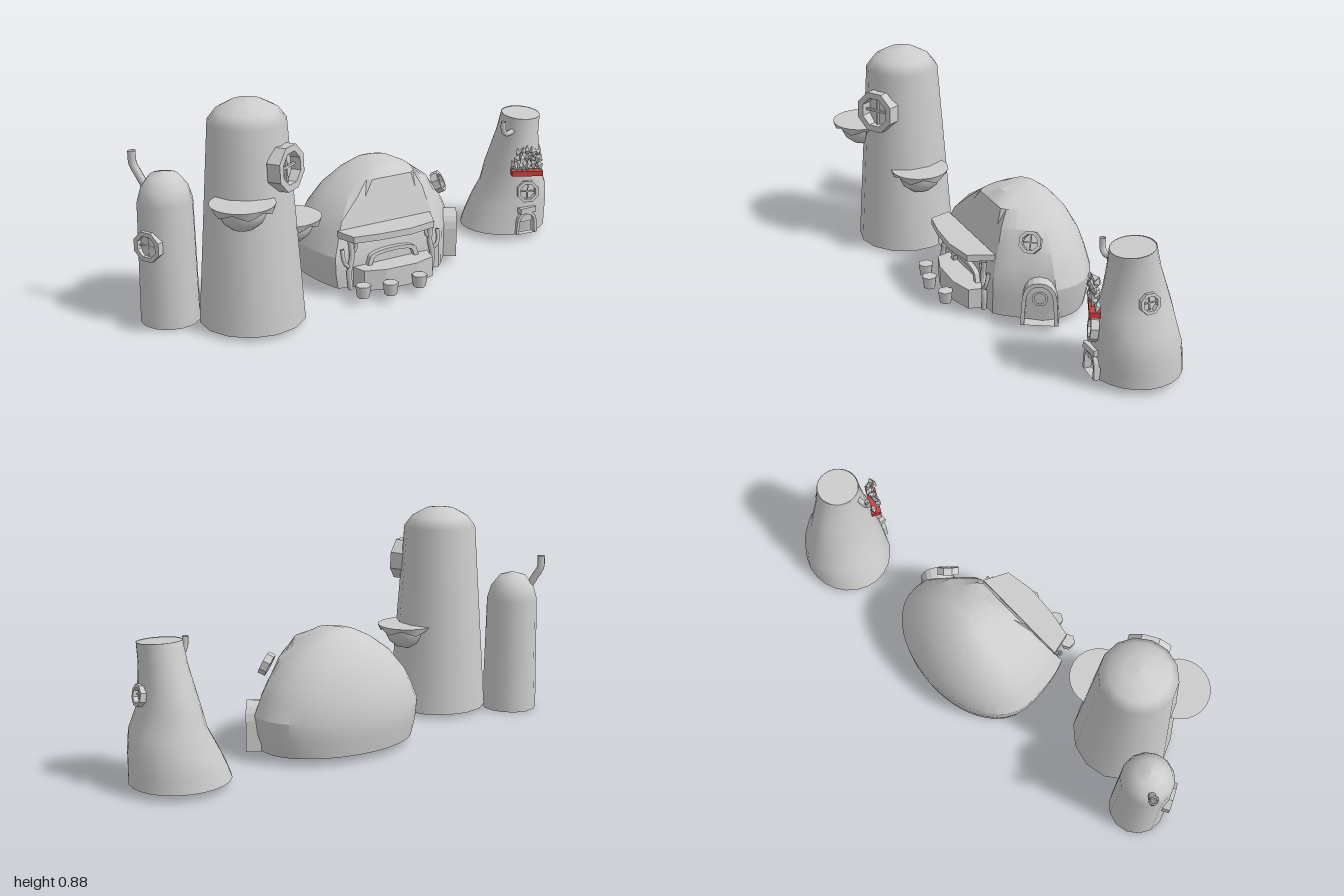
import * as THREE from 'three';
import { toCreasedNormals } from 'three/addons/utils/BufferGeometryUtils.js';

const V = (x, y, z) => new THREE.Vector3(x, y, z);

export function createModel() {
  const root = new THREE.Group();
  const stone = new THREE.MeshStandardMaterial({ color: 0xcccccc, side: THREE.DoubleSide });
  stone.name = 'pale grey';
  const red = new THREE.MeshStandardMaterial({ color: 0xc84444, side: THREE.DoubleSide });
  red.name = 'planter red';

  const add = (name, geo, p = [0, 0, 0], parent = root, mat = stone) => {
    const m = new THREE.Mesh(geo, mat);
    m.name = name;
    m.position.set(...p);
    parent.add(m);
    return m;
  };
  // Group at a point whose +z looks along a normal
  const facing = (name, p, n) => {
    const g = new THREE.Group();
    g.name = name;
    g.position.set(...p);
    g.lookAt(V(...p).add(V(...n)));
    root.add(g);
    return g;
  };
  const tube = (name, pts, r, parent = root) =>
    add(name, new THREE.TubeGeometry(new THREE.CatmullRomCurve3(pts.map(p => V(...p))), 8, r, 7), [0, 0, 0], parent);

  // Skin of rings: point(j, i) gives a vertex, skip(j, i) leaves an opening
  const loft = (rows, segs, point, skip = () => false, crease = 0.6) => {
    const pos = [], idx = [];
    for (let j = 0; j < rows; j++) for (let i = 0; i < segs; i++) pos.push(...point(j, i));
    for (let j = 0; j < rows - 1; j++) for (let i = 0; i < segs; i++) {
      if (skip(j, i)) continue;
      const a = j * segs + i, b = j * segs + (i + 1) % segs;
      idx.push(a, b, b + segs, a, b + segs, a + segs);
    }
    const g = new THREE.BufferGeometry();
    g.setAttribute('position', new THREE.Float32BufferAttribute(pos, 3));
    g.setIndex(idx);
    return toCreasedNormals(g, crease);
  };

  // Octagonal porthole with crossbars
  const ngon = (path, r) => {
    for (let k = 0; k < 8; k++) {
      const a = (k + 0.5) * Math.PI / 4;
      path[k ? 'lineTo' : 'moveTo'](r * Math.cos(a), r * Math.sin(a));
    }
    path.closePath();
    return path;
  };
  const porthole = (name, p, n, r, depth) => {
    const g = facing(name, p, n);
    const s = ngon(new THREE.Shape(), r);
    s.holes.push(ngon(new THREE.Path(), r * 0.7));
    add('windowFrame', new THREE.ExtrudeGeometry(s, { depth, bevelEnabled: false }), [0, 0, -depth / 2], g);
    add('windowBar', new THREE.BoxGeometry(r * 1.4, r * 0.1, r * 0.12), [0, 0, 0], g);
    add('windowBar', new THREE.BoxGeometry(r * 0.1, r * 1.4, r * 0.12), [0, 0, 0], g);
  };

  // Round towers with domed tops, open underneath
  const tower = (name, x, z, segs, profile) =>
    add(name, new THREE.LatheGeometry(profile.map(p => new THREE.Vector2(...p)), segs), [x, 0, z]);
  tower('tallTower', -0.6, 0.112, 14,
    [[0.206, 0.016], [0.15, 0.795], [0.117, 0.838], [0.062, 0.868], [0, 0.877]]);
  tower('smallTower', -0.865, -0.06, 14,
    [[0.115, 0], [0.106, 0.48], [0.09, 0.535], [0.055, 0.58], [0, 0.596]]);
  porthole('tallTowerWindow', [-0.52, 0.64, 0.258], [0.52, 0.05, 0.85], 0.09, 0.055);
  porthole('smallTowerWindow', [-0.958, 0.33, -0.012], [-0.87, 0, 0.5], 0.062, 0.03);
  tube('smallTowerChimney',
    [[-0.925, 0.54, -0.105], [-0.942, 0.585, -0.125], [-0.953, 0.615, -0.138], [-0.955, 0.667, -0.138]], 0.016);

  // Shelf mushrooms: flat cap with a wavy lower rim over a bowl
  const mushroom = (x, y, z) => {
    const cap = new THREE.CylinderGeometry(0.122, 0.112, 0.022, 24);
    const p = cap.attributes.position;
    for (let i = 0; i < p.count; i++) if (p.getY(i) < 0 && Math.hypot(p.getX(i), p.getZ(i)) > 0.05)
      p.setY(i, -0.012 + 0.01 * Math.sin(6 * Math.atan2(p.getX(i), p.getZ(i))));
    cap.computeVertexNormals();
    add('shelfCap', cap, [x, y - 0.011, z]);
    const bowl = [[0, -0.1], [0.045, -0.094], [0.074, -0.07], [0.088, -0.04], [0.09, -0.014]];
    add('shelfBowl', new THREE.LatheGeometry(bowl.map(q => new THREE.Vector2(...q)), 16), [x, y, z]);
  };
  mushroom(-0.7, 0.54, 0.265);
  mushroom(-0.432, 0.388, 0.112);

  // Domed shop: ellipsoid trimmed by a leaning front and a slanted door wall
  const levels = [[0.03, 0.93], [0.1, 0.98], [0.17, 1], [0.24, 0.92], [0.3, 0.83], [0.375, 0.65],
    [0.435, 0.42], [0.47, 0.22], [0.487, 0]];
  const AX = 0.075, AZ = -0.13, N = 48;
  const dome = loft(levels.length, N, (j, i) => {
    const [y, s] = levels[j], a = i / N * Math.PI * 2, sx = Math.sin(a), cz = Math.cos(a);
    let r = s / Math.hypot(sx / 0.352, cz / (cz > 0 ? 0.5 : 0.23));
    const front = 0.105 - 0.085 * Math.max(0, (y - 0.17) / 0.29);
    if (cz > 0.01) r = Math.min(r, (front - AZ) / cz);
    const d = 0.76 * sx + 0.65 * cz, wall = 0.268 - 0.12 * Math.max(0, (y - 0.2) / 0.28);
    if (d > 0.01) r = Math.min(r, (wall - 0.76 * AX - 0.65 * AZ) / d);
    return [AX + r * sx, y, AZ + r * cz];
  }, undefined, 0.42);
  add('shopDome', dome);
  porthole('shopWindow', [0.33, 0.35, -0.02], [0.66, 0.45, 0.6], 0.046, 0.03);

  // Arched doorway
  const archPath = (path, w, h) => {
    path.moveTo(-w, 0);
    path.lineTo(-w * 0.9, h * 0.65);
    path.quadraticCurveTo(-w * 0.75, h, 0, h);
    path.quadraticCurveTo(w * 0.75, h, w * 0.9, h * 0.65);
    path.lineTo(w, 0);
    path.closePath();
    return path;
  };
  const arch = (name, p, n, w, h, t, depth) => {
    const g = facing(name, p, n);
    const s = archPath(new THREE.Shape(), w, h);
    s.holes.push(archPath(new THREE.Path(), w - t, h - t));
    add('doorFrame', new THREE.ExtrudeGeometry(s, { depth, bevelEnabled: false, curveSegments: 4 }),
      [0, 0, -depth / 2], g);
    return g;
  };
  const door = arch('shopDoor', [0.395, 0.03, -0.03], [0.85, 0, 0.52], 0.075, 0.185, 0.016, 0.06);
  add('doorPane', new THREE.RingGeometry(0.022, 0.032, 12), [0, 0.105, 0.005], door);

  // Shop canopy, counter and hatch
  const slab = (name, y, h, pts) => {
    const s = new THREE.Shape(pts.map(q => new THREE.Vector2(q[0], -q[1])));
    const m = add(name, new THREE.ExtrudeGeometry(s, { depth: h, bevelEnabled: false }), [0, y, 0]);
    m.rotation.x = -Math.PI / 2;
  };
  slab('canopy', 0.243, 0.027, [[-0.21, 0.08], [-0.185, 0.17], [-0.08, 0.19], [0.06, 0.2], [0.18, 0.18], [0.225, 0.08]]);
  slab('counter', 0.03, 0.085, [[-0.155, 0.09], [-0.135, 0.165], [-0.05, 0.195], [0.09, 0.2], [0.18, 0.175], [0.2, 0.09]]);
  const hatch = archPath(new THREE.Shape(), 0.12, 0.06);
  hatch.holes.push(archPath(new THREE.Path(), 0.1, 0.045));
  add('hatchFrame', new THREE.ExtrudeGeometry(hatch, { depth: 0.03, bevelEnabled: false }), [0.025, 0.112, 0.095]);

  // Branching canopy posts
  for (const [x, k] of [[-0.172, -1], [0.205, 1]]) {
    tube('canopyPost', [[x, 0.03, 0.12], [x + 0.008 * k, 0.1, 0.122], [x - 0.006 * k, 0.17, 0.12], [x + 0.004 * k, 0.245, 0.12]], 0.011);
    tube('postBranch', [[x, 0.12, 0.12], [x + 0.03 * k, 0.15, 0.125], [x + 0.035 * k, 0.205, 0.115]], 0.008);
    tube('postBranch', [[x, 0.17, 0.12], [x - 0.022 * k, 0.195, 0.12], [x - 0.026 * k, 0.225, 0.12]], 0.007);
  }

  // Stools
  for (const [x, z] of [[-0.165, 0.207], [-0.058, 0.238], [0.082, 0.23]])
    add('stool', new THREE.CylinderGeometry(0.032, 0.025, 0.05, 6).toNonIndexed(), [x, 0.053, z]);

  // Stump house: rings of y, min x, max x, min z, max z, with a door opening
  const rings = [
    [0.027, 0.612, 0.995, -0.385, -0.025], [0.08, 0.632, 0.993, -0.378, -0.025],
    [0.14, 0.66, 0.99, -0.367, -0.024], [0.22, 0.698, 0.978, -0.338, -0.028],
    [0.3, 0.72, 0.942, -0.322, -0.038], [0.38, 0.738, 0.934, -0.292, -0.054],
    [0.46, 0.755, 0.927, -0.263, -0.062], [0.54, 0.764, 0.93, -0.238, -0.066]];
  const stump = (j, i) => {
    const [y, x0, x1, z0, z1] = rings[j], a = i / 24 * Math.PI * 2;
    const rim = j === rings.length - 1 ? -0.008 * Math.cos(a) : 0;
    return [(x0 + x1) / 2 + (x1 - x0) / 2 * Math.sin(a), y + rim, (z0 + z1) / 2 + (z1 - z0) / 2 * Math.cos(a)];
  };
  add('stumpHouse', loft(rings.length, 24, stump, (j, i) => j === 0 && (i >= 23 || i === 0), 1));
  const lid = new THREE.CircleGeometry(0.084, 24).rotateX(-Math.PI / 2 + 0.09);
  add('stumpTop', lid, [0.847, 0.538, -0.152]);
  arch('stumpDoor', [0.802, 0.027, -0.03], [-0.1, 0, 1], 0.052, 0.1, 0.012, 0.03);
  add('doorHood', new THREE.BoxGeometry(0.08, 0.025, 0.03), [0.803, 0.135, -0.025]);
  porthole('stumpFrontWindow', [0.805, 0.22, -0.026], [-0.4, 0.1, 0.9], 0.05, 0.03);
  porthole('stumpSideWindow', [0.938, 0.355, -0.172], [1, 0.15, 0.05], 0.042, 0.03);
  tube('stumpPipe', [[0.775, 0.475, -0.11], [0.735, 0.472, -0.105], [0.722, 0.49, -0.103], [0.72, 0.53, -0.103]], 0.012);

  // Flower box with leafy sprigs
  const box = facing('flowerBox', [0.8, 0.306, -0.03], [-0.45, 0, 0.86]);
  add('planter', new THREE.BoxGeometry(0.135, 0.022, 0.042), [0, 0, 0], box, red);
  for (let k = 0; k < 15; k++) {
    const t = (k % 5) - 2, row = Math.floor(k / 5);
    const leaf = add('leaf', new THREE.OctahedronGeometry(0.022),
      [t * 0.027 * (1 - row * 0.13), 0.03 + row * 0.032 + 0.006 * (k % 2), 0.008 * ((k * 3) % 4 - 1)], box);
    leaf.scale.set(0.85, 1.15, 0.6);
    leaf.rotation.set(0.3 * (k % 3 - 1), k * 0.7, -t * 0.25);
  }
  return root;
}
